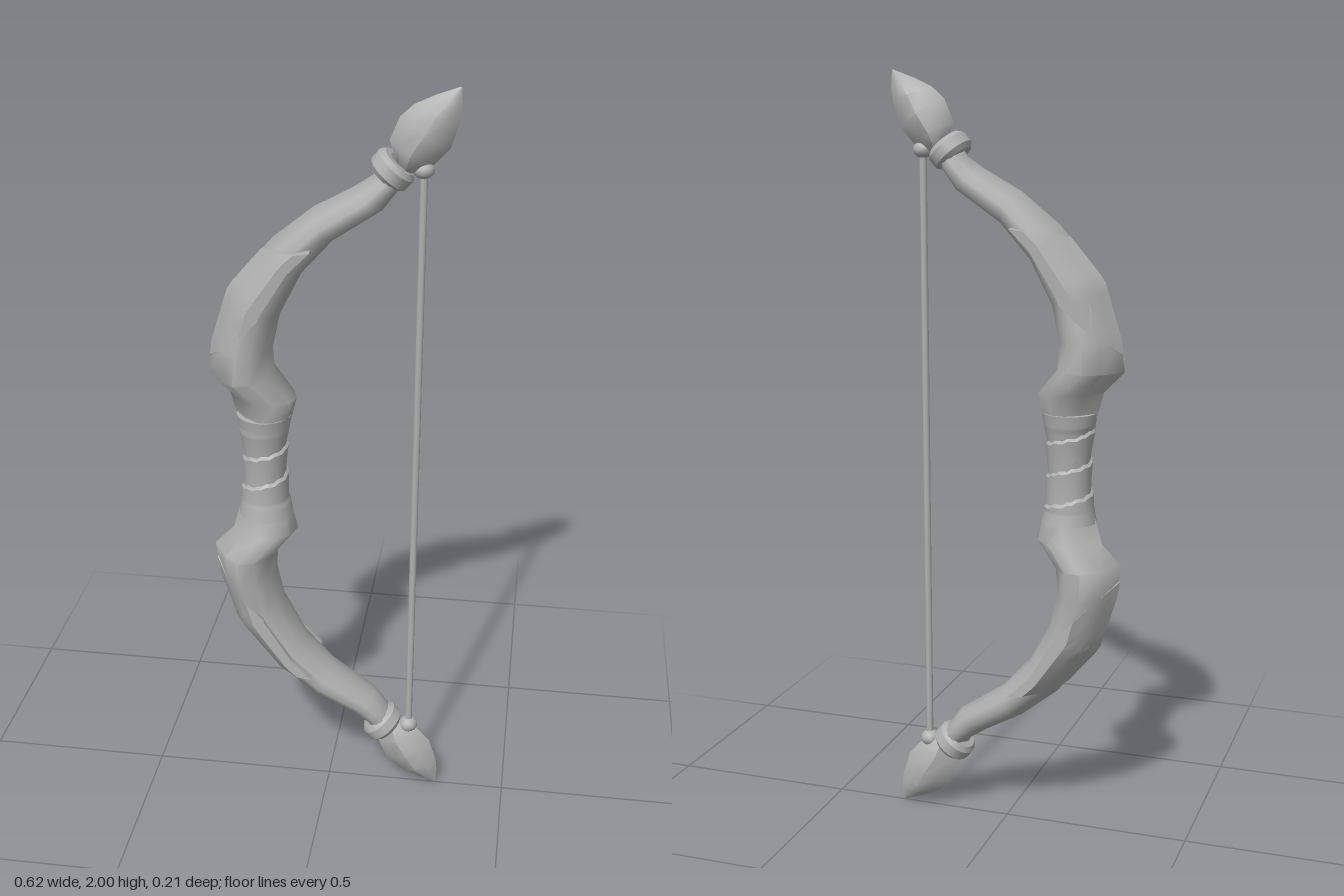
import * as THREE from 'three';
import { toCreasedNormals } from 'three/addons/utils/BufferGeometryUtils.js';

const stone = new THREE.MeshStandardMaterial({ color: 0xb0b0b0 });
stone.name = 'plain grey';
const lerp = THREE.MathUtils.lerp;

function add(parent, name, geometry) {
  const mesh = new THREE.Mesh(geometry, stone);
  mesh.name = name;
  parent.add(mesh);
  return mesh;
}

// Skin rows of [x, y, z] points; closed joins the last column to the first
function skin(rows, closed, crease) {
  const n = rows[0].length, index = [];
  for (let j = 0; j < rows.length - 1; j++) {
    for (let k = 0; k < (closed ? n : n - 1); k++) {
      const a = j * n + k, b = j * n + (k + 1) % n;
      index.push(a, b, b + n, a, b + n, a + n);
    }
  }
  const g = new THREE.BufferGeometry();
  g.setAttribute('position', new THREE.Float32BufferAttribute(rows.flat(2), 3));
  g.setIndex(index);
  return toCreasedNormals(g, crease);
}

// Limb sections: outer x, y, inner x, y, half width
const LIMB = [
  [-0.24, 1.13, -0.10, 1.13, 0.068], [-0.26, 1.20, -0.085, 1.19, 0.08],
  [-0.313, 1.255, -0.14, 1.26, 0.106], [-0.30, 1.34, -0.145, 1.33, 0.10],
  [-0.255, 1.485, -0.125, 1.42, 0.092], [-0.14, 1.62, -0.07, 1.53, 0.085],
  [-0.04, 1.70, 0.01, 1.62, 0.077], [0.06, 1.755, 0.13, 1.70, 0.063],
  [0.105, 1.785, 0.17, 1.755, 0.055], [0.13, 1.825, 0.185, 1.78, 0.045],
];
// Leaf-shaped end sections, in the same form
const BLADE = [
  [0.175, 1.80, 0.19, 1.79, 0.012], [0.16, 1.82, 0.21, 1.793, 0.032],
  [0.143, 1.87, 0.25, 1.815, 0.043], [0.167, 1.927, 0.287, 1.855, 0.047],
  [0.20, 1.957, 0.308, 1.92, 0.037], [0.25, 1.98, 0.312, 1.955, 0.022],
  [0.306, 2.0, 0.309, 1.998, 0.001],
];

function sectionAt(list, t) {
  const i = Math.min(Math.floor(t), list.length - 2);
  return list[i].map((v, k) => lerp(v, list[i + 1][k], t - i));
}

// Point of a section: s runs inner (-1) to outer (1), w is the width factor
function place([ox, oy, ix, iy, half], s, w) {
  return [lerp(ix, ox, (s + 1) / 2), lerp(iy, oy, (s + 1) / 2), w * half];
}

function loft(list, halfProfile, crease) {
  const rows = list.map((sec, j) => {
    const p = halfProfile(j / (list.length - 1));
    const ring = [...p, ...p.slice(1, -1).reverse().map(([s, w]) => [s, -w])];
    return ring.map(([s, w]) => place(sec, s, w));
  });
  return skin(rows, true, crease);
}

// Raised sleeve wrapped over the outer ridge, with slanted V ends
function sleeveGeometry() {
  const side = [[1, 0], [0.55, 0.65], [0.05, 1], [-0.4, 0.98]];
  const cols = 12, steps = 14, rows = [];
  for (let j = -1; j <= steps + 1; j++) {
    const row = [];
    const f = Math.min(Math.max(j / steps, 0), 1);
    for (let k = -1; k <= cols + 1; k++) {
      const v = Math.min(Math.max(k / cols * 2 - 1, -1), 1), m = Math.abs(v);
      const rim = j < 0 || j > steps || k < 0 || k > cols;
      const sec = sectionAt(LIMB, lerp(lerp(2.5, 3.9, m), lerp(4.75, 5.65, m), f));
      const i = Math.min(Math.floor(m * 3), 2);
      const s = lerp(side[i][0], side[i + 1][0], m * 3 - i);
      const w = lerp(side[i][1], side[i + 1][1], m * 3 - i) * Math.sign(v);
      sec[4] = rim ? sec[4] * 0.85 : Math.max(sec[4] + 0.003, 0.101);
      row.push(place(sec, s * (rim ? 0.88 : s > 0 ? 1.04 : 1), w));
    }
    rows.push(row);
  }
  return skin(rows, false, 0.7);
}

// Waisted grip with overlapping spiral wraps
function gripGeometry() {
  const g = new THREE.CylinderGeometry(1, 1, 0.29, 32, 40);
  const p = g.attributes.position;
  for (let i = 0; i < p.count; i++) {
    const x = p.getX(i), y = p.getY(i), z = p.getZ(i);
    const e = Math.abs(y) / 0.145;
    const turn = y * 12 + Math.atan2(z, x) / (2 * Math.PI) + 10.3;
    const wrap = e < 0.75 ? 0.007 * (turn - Math.floor(turn)) : 0.004;
    const r = 0.054 + 0.014 * e * e + wrap;
    p.setXYZ(i, x * r, y, z * r * 1.07);
  }
  return toCreasedNormals(g, 0.7);
}

function buildLimb() {
  const limb = new THREE.Group();
  add(limb, 'limb', loft(LIMB, (f) => [
    [1, 0], [0.55, lerp(0.62, 0.85, f)], [0.05, 1], [-0.45, 0.93], [-0.85, 0.55], [-1, 0],
  ], 0.9));
  add(limb, 'limbSleeve', sleeveGeometry());
  add(limb, 'leafTip', loft(BLADE, () => [
    [1, 0], [0.55, 0.62], [0, 1], [-0.55, 0.7], [-1, 0],
  ], 0.8));

  // Bevelled collar below the leaf tip
  const collarProfile = [[0.03, -0.026], [0.05, -0.026], [0.062, -0.014], [0.062, 0.014],
    [0.05, 0.026], [0.03, 0.026]].map(([r, y]) => new THREE.Vector2(r, y));
  const collar = add(limb, 'collar',
    toCreasedNormals(new THREE.LatheGeometry(collarProfile, 20), 0.6));
  collar.position.set(0.152, 1.8, 0);
  collar.rotation.z = -0.71;
  collar.scale.x = 0.9;

  // Knot holding the string
  const knot = add(limb, 'stringKnot', new THREE.SphereGeometry(0.026, 14, 10));
  knot.position.set(0.226, 1.802, 0);
  knot.scale.y = 0.85;
  return limb;
}

export function createModel() {
  const bow = new THREE.Group();
  bow.name = 'bow';

  const upper = buildLimb();
  upper.name = 'upperLimb';
  const lower = buildLimb();
  lower.name = 'lowerLimb';
  lower.rotation.x = Math.PI;
  lower.position.y = 2;
  bow.add(upper, lower);

  add(bow, 'grip', gripGeometry()).position.set(-0.17, 1, 0);
  add(bow, 'bowString', new THREE.CylinderGeometry(0.0095, 0.0095, 1.6, 10))
    .position.set(0.227, 1, 0);
  return bow;
}
